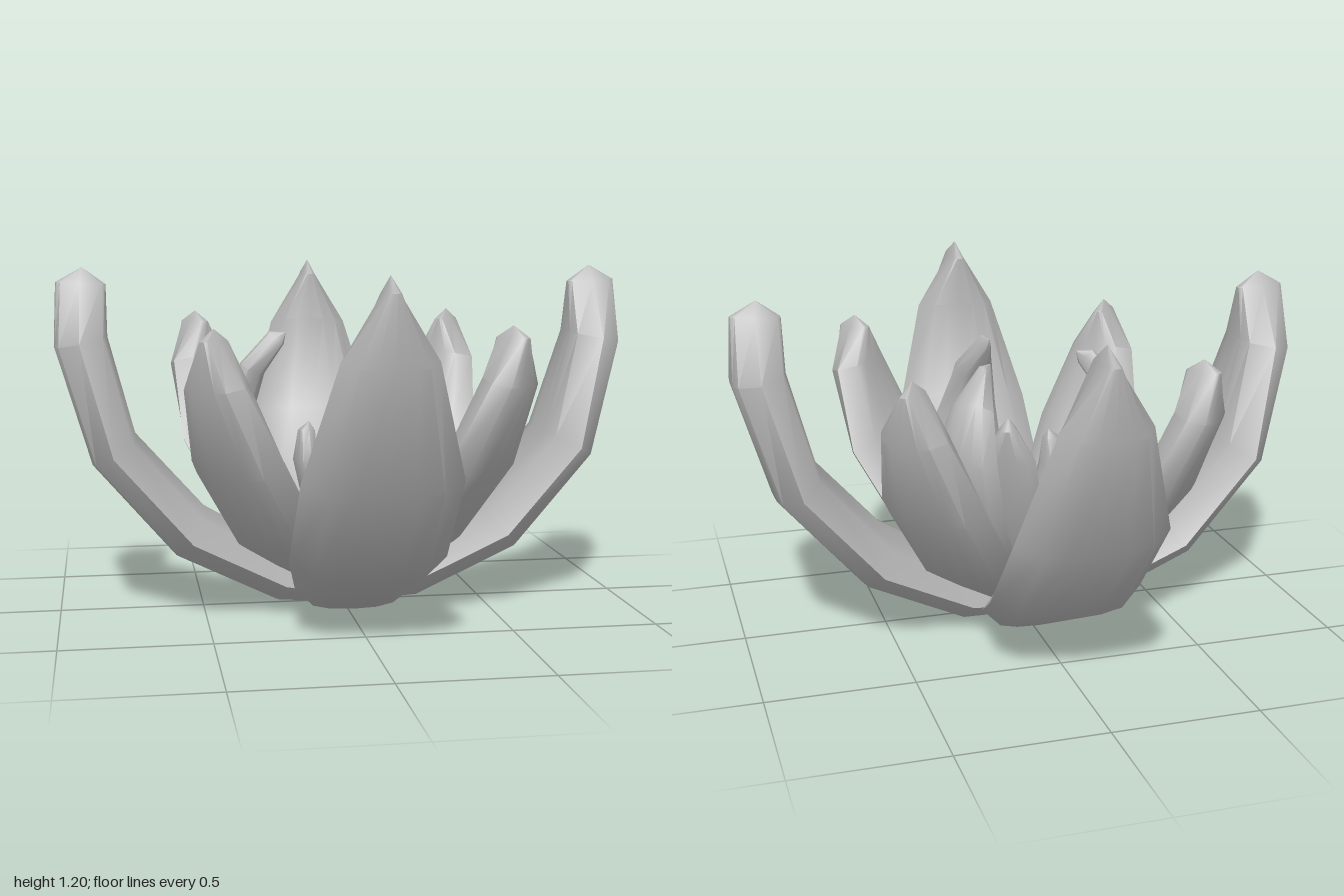
import * as THREE from 'three';
import { toCreasedNormals } from 'three/addons/utils/BufferGeometryUtils.js';

// Thick lens cross-section: [across, depth] fractions, going round from the outer midline
const HALF = [[0.4, 0.02], [0.7, 0.1], [1, 0.48], [0.68, 0.92], [0.35, 0.99]];
const SECTION = [[0, 0], ...HALF, [0, 1], ...HALF.slice().reverse().map(([u, d]) => [-u, d])];

// Petal lofted outwards along +z. Stations: [radius, height, halfWidth, depth] of the outer midline
function petalGeometry(stations, tip) {
  const pos = [], index = [], n = SECTION.length;
  stations.forEach(([r, y, w, d], i) => {
    const a = stations[Math.max(i - 1, 0)];
    const b = stations[Math.min(i + 1, stations.length - 1)];
    const t = new THREE.Vector2(b[0] - a[0], b[1] - a[1]).normalize();
    for (const [u, k] of SECTION) pos.push(u * w, y + t.x * k * d, r - t.y * k * d);
  });
  for (let i = 0; i < stations.length - 1; i++) {
    for (let j = 0; j < n; j++) {
      const a = i * n + j, b = i * n + (j + 1) % n;
      index.push(a, b, b + n, a, b + n, a + n);
    }
  }
  // Pointed tip and closed root
  const end = (stations.length - 1) * n, apex = stations.length * n, root = apex + 1;
  pos.push(0, tip[1], tip[0]);
  pos.push(0, stations[0][1] + stations[0][3] * 0.4, stations[0][0]);
  for (let j = 0; j < n; j++) {
    const k = (j + 1) % n;
    index.push(end + j, end + k, apex, k, j, root);
  }
  const geo = new THREE.BufferGeometry();
  geo.setAttribute('position', new THREE.Float32BufferAttribute(pos, 3));
  geo.setIndex(index);
  return toCreasedNormals(geo, 0.85);
}

export function createModel() {
  const flower = new THREE.Group();
  flower.name = 'waterLily';
  const petalGrey = new THREE.MeshStandardMaterial({ color: 0xb4b4b4 });
  petalGrey.name = 'petalGrey';

  // Ring of petals; angles in degrees from the front towards the left (+x)
  function addRing(name, geometry, angles) {
    const ring = new THREE.Group();
    ring.name = name + 's';
    for (const deg of angles) {
      const petal = new THREE.Mesh(geometry, petalGrey);
      petal.name = name;
      petal.rotation.y = THREE.MathUtils.degToRad(deg);
      ring.add(petal);
    }
    flower.add(ring);
  }

  // Four large outer petals
  addRing('outerPetal', petalGeometry([
    [0.0, 0.0, 0.1, 0.08],
    [0.25, 0.03, 0.2, 0.16],
    [0.6, 0.205, 0.26, 0.18],
    [0.88, 0.53, 0.255, 0.175],
    [1.0, 0.93, 0.15, 0.185],
    [0.99, 1.15, 0.028, 0.17],
  ], [0.9, 1.2]), [0, 90, 180, 270]);

  // Four medium petals on the diagonals
  addRing('middlePetal', petalGeometry([
    [0.02, 0.04, 0.05, 0.05],
    [0.17, 0.09, 0.13, 0.1],
    [0.42, 0.25, 0.2, 0.14],
    [0.63, 0.53, 0.205, 0.14],
    [0.75, 0.82, 0.125, 0.14],
    [0.75, 0.98, 0.025, 0.12],
  ], [0.69, 1.02]), [45, 135, 225, 315]);

  // Three small petals with curled tips
  addRing('innerPetal', petalGeometry([
    [0.02, 0.1, 0.04, 0.04],
    [0.2, 0.2, 0.1, 0.08],
    [0.36, 0.39, 0.13, 0.1],
    [0.425, 0.67, 0.125, 0.1],
    [0.36, 0.86, 0.08, 0.09],
    [0.26, 0.97, 0.02, 0.07],
  ], [0.2, 0.965]), [15, 135, 255]);

  // Two narrow petals at the heart
  addRing('heartPetal', petalGeometry([
    [0.0, 0.1, 0.04, 0.04],
    [0.09, 0.22, 0.08, 0.06],
    [0.17, 0.42, 0.11, 0.08],
    [0.23, 0.62, 0.095, 0.08],
    [0.24, 0.74, 0.03, 0.07],
  ], [0.2, 0.78]), [153]);
  addRing('budPetal', petalGeometry([
    [0.0, 0.1, 0.04, 0.04],
    [0.07, 0.2, 0.06, 0.05],
    [0.14, 0.37, 0.075, 0.07],
    [0.18, 0.52, 0.06, 0.07],
    [0.17, 0.63, 0.025, 0.06],
  ], [0.13, 0.66]), [288]);

  return flower;
}
